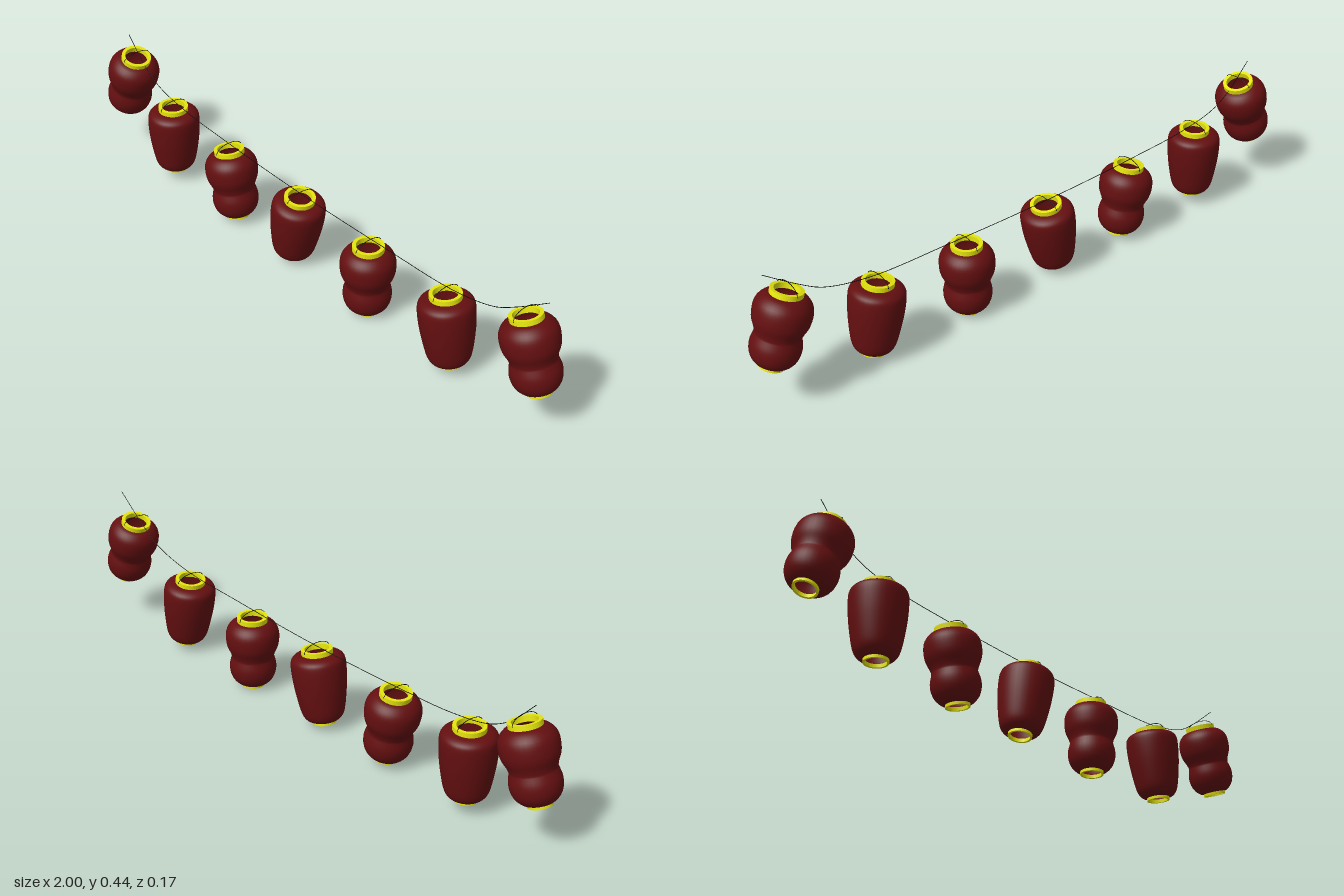
import * as THREE from 'three';

const red = new THREE.MeshStandardMaterial({ color: 0x640f10, side: THREE.DoubleSide });
const yellow = new THREE.MeshStandardMaterial({ color: 0xe6e610 });
const black = new THREE.MeshStandardMaterial({ color: 0x050505 });

const vec2 = (list) => list.map(([r, y]) => new THREE.Vector2(r, y));

function mesh(name, geometry, material) {
  const m = new THREE.Mesh(geometry, material);
  m.name = name;
  return m;
}

// Shade outlines as [radius, height], bottom to top
const gourd = [[0.034, 0.008], [0.048, 0.013], [0.064, 0.03], [0.072, 0.052], [0.073, 0.075],
  [0.068, 0.096], [0.0665, 0.105], [0.071, 0.12], [0.079, 0.138], [0.083, 0.157],
  [0.083, 0.184], [0.076, 0.204], [0.06, 0.22], [0.044, 0.225]];
const barrel = [[0.034, 0.008], [0.05, 0.014], [0.062, 0.029], [0.07, 0.058], [0.079, 0.115],
  [0.083, 0.16], [0.083, 0.197], [0.077, 0.213], [0.062, 0.222], [0.044, 0.225]];

// Square-section collar, open through the middle
function collar(name, inner, outer, y0, y1) {
  const shape = new THREE.Shape().absarc(0, 0, outer, 0, Math.PI * 2);
  shape.holes.push(new THREE.Path().absarc(0, 0, inner, 0, Math.PI * 2, true));
  const g = new THREE.ExtrudeGeometry(shape, { depth: y1 - y0, bevelEnabled: false, curveSegments: 24 });
  g.rotateX(-Math.PI / 2).translate(0, y0, 0);
  return mesh(name, g, yellow);
}

// Thin wire bail arching from front to back over the top collar
function handle() {
  const pts = [];
  for (let i = 0; i <= 12; i++) {
    const a = (i / 12) * Math.PI;
    pts.push(new THREE.Vector3(0, 0.234 + 0.023 * Math.sin(a), 0.049 * Math.cos(a)));
  }
  return mesh('wireHandle', new THREE.TubeGeometry(new THREE.CatmullRomCurve3(pts), 24, 0.001, 5), black);
}

function lantern(profile) {
  const g = new THREE.Group();
  const curve = new THREE.SplineCurve(vec2(profile));
  g.add(
    mesh('shade', new THREE.LatheGeometry(curve.getPoints(36), 36), red),
    collar('topCollar', 0.037, 0.048, 0.222, 0.239),
    collar('bottomCollar', 0.03, 0.036, 0, 0.011),
    handle(),
  );
  return g;
}

export function createModel() {
  const model = new THREE.Group();
  model.name = 'lanternGarland';

  // Lanterns: x and y of the bottom centre, lean in degrees; shapes alternate
  const places = [[-0.946, 0.143, -18], [-0.68, 0.031, 0], [-0.353, 0.013, 9], [-0.083, 0.013, -9],
    [0.26, 0, 0], [0.61, 0.018, 8], [0.943, 0.135, 18]];
  places.forEach(([x, y, lean], i) => {
    const l = lantern(i % 2 ? barrel : gourd);
    l.name = `lantern${i + 1}`;
    l.position.set(x, y, 0);
    l.rotation.z = THREE.MathUtils.degToRad(lean);
    model.add(l);
  });

  // Sagging cord
  const cord = [[-0.91, 0.433], [-0.825, 0.347], [-0.75, 0.305], [-0.606, 0.278], [-0.42, 0.267],
    [-0.2, 0.26], [0.045, 0.259], [0.33, 0.266], [0.6, 0.278], [0.756, 0.315], [0.836, 0.363], [0.943, 0.442]];
  const path = new THREE.CatmullRomCurve3(cord.map(([x, y]) => new THREE.Vector3(x, y, -0.002)));
  model.add(mesh('cord', new THREE.TubeGeometry(path, 80, 0.001, 5), black));
  return model;
}
